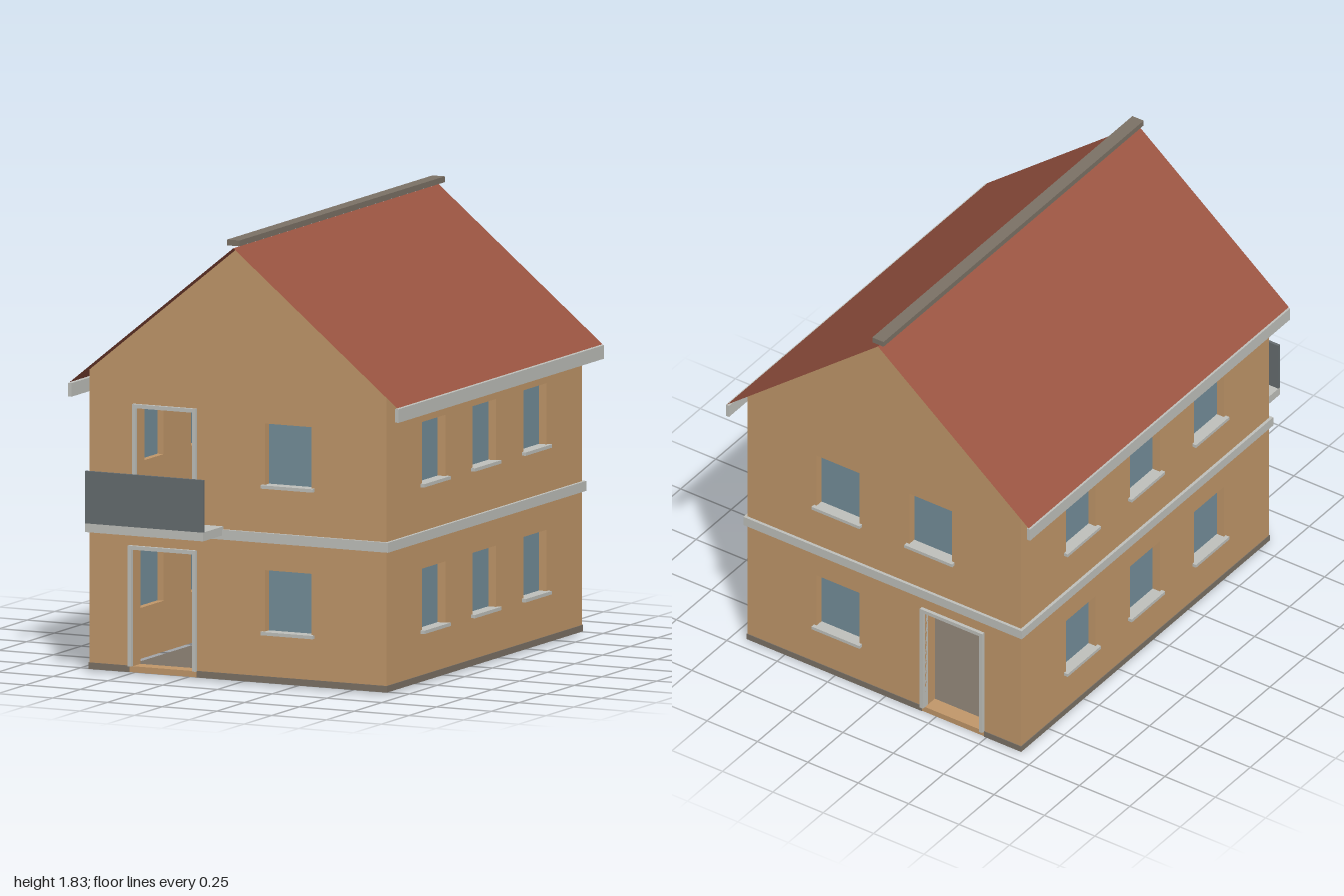
import * as THREE from 'three';

const HALF_W = 0.678, FRONT = 0.815, BACK = -0.954, MID_Z = (FRONT + BACK) / 2;
const EAVE = 1.245, RIDGE = 1.795, BASE = 0.01, THICK = 0.07;
const WIN_W = 0.212, WIN_H = 0.255, WIN_Y = [0.22, 0.825];

const mat = (name, color) => {
  const m = new THREE.MeshStandardMaterial({ color });
  m.name = name;
  return m;
};

export function createModel() {
  const house = new THREE.Group();
  house.name = 'house';
  const wallMat = mat('tan plaster', 0xc2986a);
  const trimMat = mat('light grey trim', 0xc0c1bc);
  const roofMat = mat('red roof', 0x9a5441);
  const glassMat = mat('blue glass', 0x758f9b);
  const stoneMat = mat('grey stone', 0x7c7266);
  const railMat = mat('dark railing', 0x666d70);
  roofMat.side = THREE.DoubleSide;
  stoneMat.side = THREE.DoubleSide;

  // Box given by its minimum and maximum corners
  const box = (name, material, x0, x1, y0, y1, z0, z1, parent = house) => {
    const m = new THREE.Mesh(new THREE.BoxGeometry(x1 - x0, y1 - y0, z1 - z0), material);
    m.position.set((x0 + x1) / 2, (y0 + y1) / 2, (z0 + z1) / 2);
    m.name = name;
    parent.add(m);
    return m;
  };

  // Wall extruded from an outline with rectangular openings [x0, x1, y0, y1]
  const wall = (name, outline, openings) => {
    const shape = new THREE.Shape(outline.map(([x, y]) => new THREE.Vector2(x, y)));
    for (const [x0, x1, y0, y1] of openings) {
      shape.holes.push(new THREE.Path([[x0, y0], [x0, y1], [x1, y1], [x1, y0]]
        .map(([x, y]) => new THREE.Vector2(x, y))));
    }
    const m = new THREE.Mesh(new THREE.ExtrudeGeometry(shape, { depth: THICK, bevelEnabled: false }), wallMat);
    m.name = name;
    house.add(m);
    return m;
  };

  const facing = (name, x, y, z, angle) => {
    const g = new THREE.Group();
    g.name = name;
    g.position.set(x, y, z);
    g.rotation.y = angle;
    house.add(g);
    return g;
  };

  // Recessed pane and projecting sill; local +z points outdoors
  const addWindow = (x, y, z, angle) => {
    const g = facing('window', x, y, z, angle), w = WIN_W / 2;
    box('pane', glassMat, -w, w, 0, WIN_H, -0.042, -0.035, g);
    box('sill', trimMat, -w - 0.013, w + 0.013, -0.012, 0.002, -0.035, 0.018, g);
  };

  // Jambs and lintel around a doorway
  const addDoorFrame = (name, [x0, x1, y0, y1], z, angle) => {
    const g = facing(name, (x0 + x1) / 2, 0, z, angle), w = (x1 - x0) / 2, t = 0.016;
    for (const s of [-1, 1]) {
      box('jamb', trimMat, s * (w + t / 2) - t / 2, s * (w + t / 2) + t / 2, y0, y1, -0.02, 0.015, g);
    }
    box('lintel', trimMat, -w - t, w + t, y1, y1 + t, -0.02, 0.015, g);
  };

  // Gable walls
  const gable = [[-HALF_W, BASE], [HALF_W, BASE], [HALF_W, EAVE], [0, RIDGE], [-HALF_W, EAVE]];
  const hole = (c, y) => [c - WIN_W / 2, c + WIN_W / 2, y, y + WIN_H];
  const door = [-0.48, -0.202, 0.035, 0.518];
  const balconyDoor = [-0.461, -0.203, 0.64, 1.103];
  const gableX = 0.23;
  wall('frontWall', gable, [door, balconyDoor, ...WIN_Y.map(y => hole(gableX, y))])
    .position.z = FRONT - THICK;
  wall('backWall', gable, [door, hole(-gableX, WIN_Y[1]), ...WIN_Y.map(y => hole(gableX, y))])
    .position.z = BACK;
  addDoorFrame('frontDoorFrame', door, FRONT, 0);
  addDoorFrame('backDoorFrame', door, BACK, Math.PI);
  addDoorFrame('balconyDoorFrame', balconyDoor, FRONT, 0);
  for (const y of WIN_Y) {
    addWindow(gableX, y, FRONT, 0);
    addWindow(gableX, y, BACK, Math.PI);
  }
  addWindow(-gableX, WIN_Y[1], BACK, Math.PI);

  // Side walls with two rows of three windows
  const sideZ = [-1, 0, 1].map(i => MID_Z + i * 0.458);
  const z0 = BACK + THICK, z1 = FRONT - THICK;
  const sideOutline = [[z0, BASE], [z1, BASE], [z1, EAVE], [z0, EAVE]];
  const sideHoles = sideZ.flatMap(z => WIN_Y.map(y => hole(z, y)));
  for (const s of [-1, 1]) {
    const m = wall(s > 0 ? 'leftWall' : 'rightWall', sideOutline, sideHoles);
    m.rotation.y = -Math.PI / 2;
    m.position.x = s > 0 ? HALF_W : -HALF_W + THICK;
    for (const z of sideZ) for (const y of WIN_Y) addWindow(s * HALF_W, y, z, s * Math.PI / 2);
  }

  // Floor
  const floor = new THREE.Mesh(
    new THREE.PlaneGeometry(2 * (HALF_W - THICK), FRONT - BACK - 2 * THICK), stoneMat);
  floor.name = 'floor';
  floor.rotation.x = -Math.PI / 2;
  floor.position.z = MID_Z;
  house.add(floor);

  // Plinth strips, interrupted at the doors
  const p = 0.003, plinthTop = 0.037;
  for (const z of [FRONT, BACK - p]) {
    box('plinth', stoneMat, -HALF_W - p, -0.496, BASE, plinthTop, z, z + p);
    box('plinth', stoneMat, -0.187, HALF_W + p, BASE, plinthTop, z, z + p);
  }
  for (const x of [-HALF_W - p, HALF_W]) box('plinth', stoneMat, x, x + p, BASE, plinthTop, BACK, FRONT);

  // Storey band around the walls
  const b = 0.013, bandY = [0.589, 0.63];
  for (const z of [FRONT, BACK - b]) box('storeyBand', trimMat, -HALF_W - b, HALF_W + b, ...bandY, z, z + b);
  for (const x of [-HALF_W - b, HALF_W]) box('storeyBand', trimMat, x, x + b, ...bandY, BACK, FRONT);

  // Balcony
  box('balconySlab', trimMat, -0.605, -0.066, 0.606, 0.642, FRONT - 0.02, 1.0);
  box('balconyRailing', railMat, -0.605, -0.066, 0.642, 0.858, 0.988, 1.0);

  // Roof slopes, eave boards and ridge cap
  const roofFront = 0.857, roofBack = -1, roofX = 0.748;
  const pitch = Math.atan2(RIDGE - EAVE, HALF_W), drop = roofX * Math.tan(pitch);
  for (const s of [-1, 1]) {
    const slope = new THREE.Mesh(
      new THREE.PlaneGeometry(roofX / Math.cos(pitch), roofFront - roofBack).rotateX(-Math.PI / 2), roofMat);
    slope.name = 'roofSlope';
    slope.rotation.z = -s * pitch;
    slope.position.set(s * roofX / 2, RIDGE + 0.005 - drop / 2, (roofFront + roofBack) / 2);
    house.add(slope);
    const x = s * 0.747;
    box('eaveBoard', trimMat, x - 0.008, x + 0.008, 1.134, 1.19, roofBack, roofFront);
  }
  box('ridgeCap', stoneMat, -0.028, 0.028, 1.81, 1.834, roofBack, roofFront);

  return house;
}
